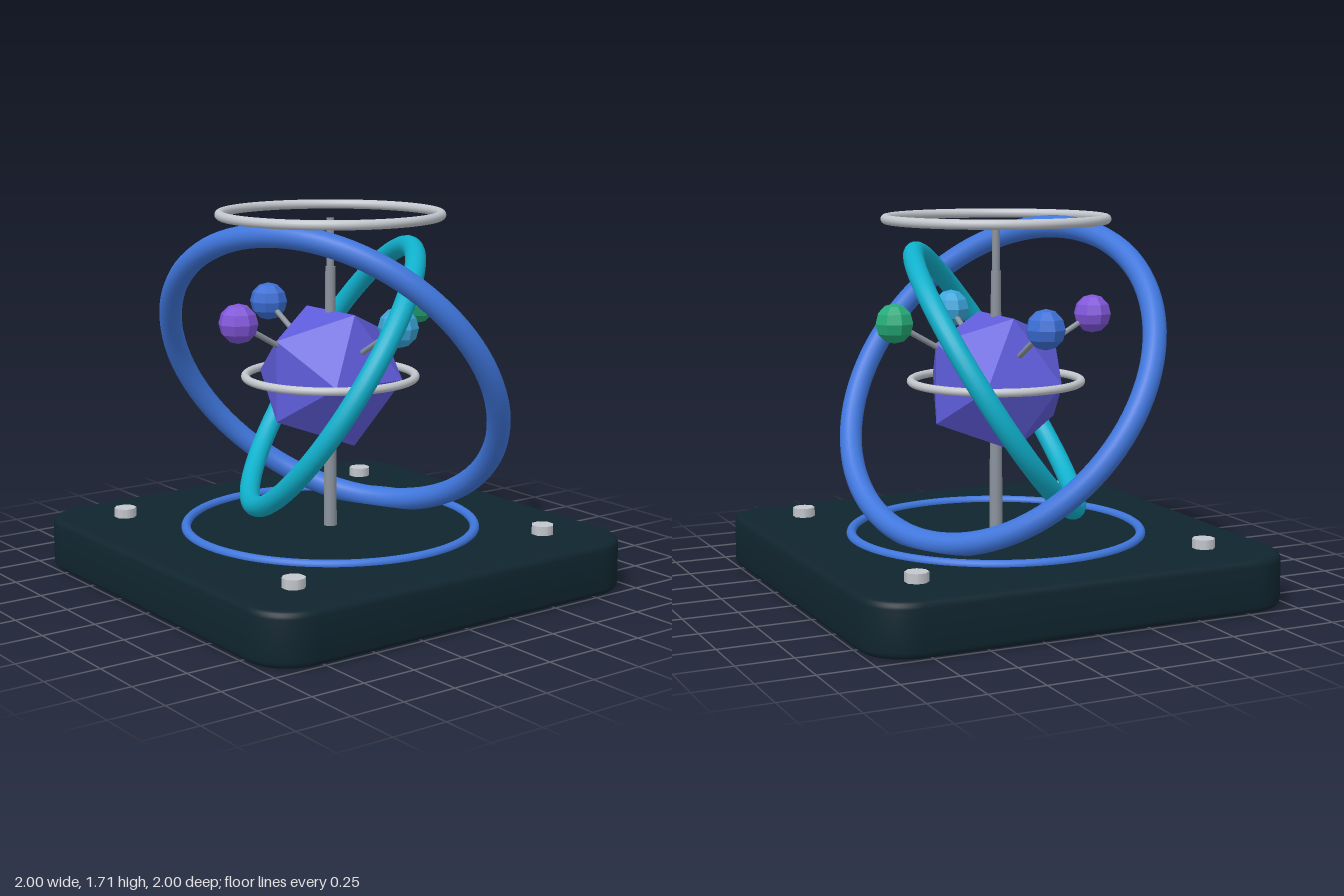
import * as THREE from 'three';
import { toCreasedNormals } from 'three/addons/utils/BufferGeometryUtils.js';

const mat = (name, color, flatShading = false) => {
  const m = new THREE.MeshStandardMaterial({ color, flatShading });
  m.name = name;
  return m;
};

export function createModel() {
  const navy = mat('darkNavy', 0x10252f);
  const blue = mat('blue', 0x3f76dc);
  const teal = mat('teal', 0x10b0cc);
  const indigo = mat('indigo', 0x5f5cda, true);
  const silver = mat('silver', 0xc3c7cd);
  const steel = mat('steel', 0x8b939d);
  const purple = mat('purple', 0x8055d8, true);
  const green = mat('green', 0x24aa78, true);
  const sky = mat('skyBlue', 0x3ba6dc, true);
  const cobalt = mat('cobalt', 0x3c6fd6, true);

  const model = new THREE.Group();
  const add = (name, geometry, material, x = 0, y = 0, z = 0) => {
    const mesh = new THREE.Mesh(geometry, material);
    mesh.name = name;
    mesh.position.set(x, y, z);
    model.add(mesh);
    return mesh;
  };
  const ring = (name, radius, tube, material, y, rx, ry = 0) => {
    const mesh = add(name, new THREE.TorusGeometry(radius, tube, 16, 96), material, 0, y, 0);
    mesh.rotation.set(rx, ry, 0);
  };

  // Rounded square base with softened edges
  const bevel = 0.03, h = 1 - bevel, r = 0.18, height = 0.24;
  const outline = new THREE.Shape();
  outline.absarc(h - r, h - r, r, 0, Math.PI / 2);
  outline.absarc(r - h, h - r, r, Math.PI / 2, Math.PI);
  outline.absarc(r - h, r - h, r, Math.PI, Math.PI * 1.5);
  outline.absarc(h - r, r - h, r, Math.PI * 1.5, Math.PI * 2);
  const slab = new THREE.ExtrudeGeometry(outline, {
    depth: height - 2 * bevel, bevelEnabled: true, bevelSize: bevel,
    bevelThickness: bevel, bevelSegments: 4, curveSegments: 10,
  });
  slab.rotateX(-Math.PI / 2);
  add('base', toCreasedNormals(slab, 0.6), navy, 0, bevel, 0);

  // Bolts on the base corners
  for (const x of [-0.695, 0.695]) {
    for (const z of [-0.695, 0.695]) {
      const bolt = add('bolt', new THREE.CylinderGeometry(0.052, 0.052, 0.05, 8), silver, x, 0.258, z);
      bolt.rotation.y = Math.PI / 8;
    }
  }

  // Central pole and its thinner tip
  add('pole', new THREE.CylinderGeometry(0.023, 0.031, 1.23, 16), steel, 0, 0.835, 0);
  add('poleTip', new THREE.CylinderGeometry(0.018, 0.018, 0.24, 16), steel, 0, 1.55, 0);

  // Level rings
  const flat = Math.PI / 2;
  ring('floorRing', 0.67, 0.022, blue, 0.245, flat);
  ring('waistRing', 0.39, 0.019, silver, 0.947, flat);
  ring('topRing', 0.5, 0.022, silver, 1.687, flat);

  // Tilted orbit rings
  const centre = 0.95;
  ring('outerOrbit', 0.82, 0.053, blue, centre, 0.635, 0.355);
  ring('innerOrbit', 0.692, 0.047, teal, centre, -0.623, -0.41);

  // Faceted core
  add('core', new THREE.IcosahedronGeometry(0.352, 0), indigo, 0, centre, 0);

  // Four small balls on spokes from the core
  const up = new THREE.Vector3(0, 1, 0);
  [[1, 0, sky], [-1, 0, cobalt], [0, 1, purple], [0, -1, green]].forEach(([x, z, material]) => {
    const offset = new THREE.Vector3(x * 0.5, 0.283, z * 0.5);
    const spoke = add('spoke', new THREE.CylinderGeometry(0.013, 0.013, offset.length() - 0.2, 8), steel);
    spoke.quaternion.setFromUnitVectors(up, offset.clone().normalize());
    spoke.position.copy(offset).setLength((offset.length() + 0.2) / 2).y += centre;
    add('ball', new THREE.SphereGeometry(0.09, 8, 6), material, offset.x, centre + offset.y, offset.z);
  });

  return model;
}
